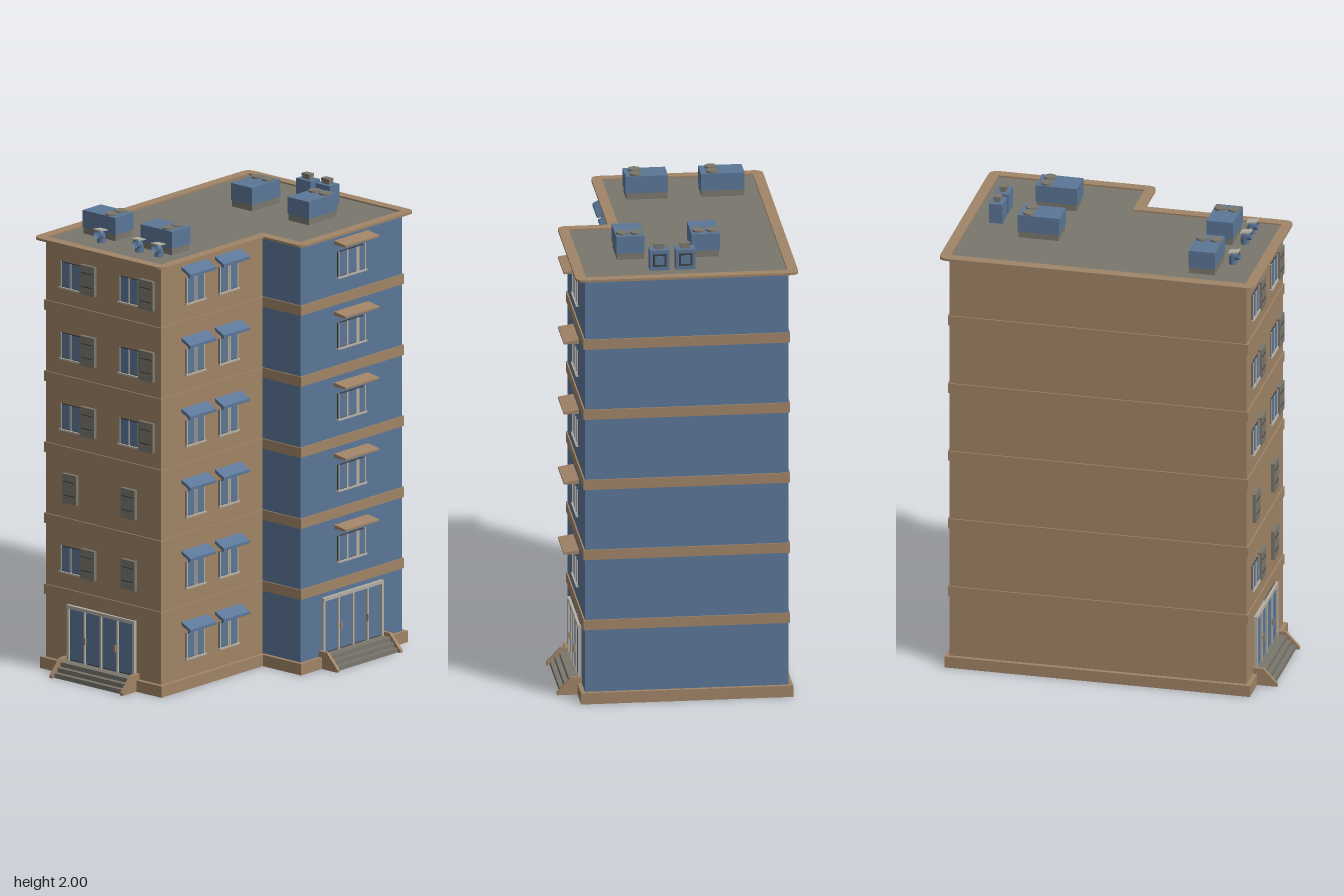
import * as THREE from 'three';

const mat = (name, color, side = THREE.FrontSide) => {
  const m = new THREE.MeshStandardMaterial({ color, side });
  m.name = name;
  return m;
};

export function createModel() {
  const tan = mat('tan plaster', 0xa08467, THREE.DoubleSide);
  const blue = mat('blue panel', 0x5b7697, THREE.DoubleSide);
  const grey = mat('warm grey', 0x7a776d, THREE.DoubleSide);
  const light = mat('light frame', 0xb3aea3);
  const dark = mat('dark trim', 0x3d3f42);

  const root = new THREE.Group();
  root.name = 'apartmentBuilding';

  const add = (parent, name, geo, material, x = 0, y = 0, z = 0) => {
    const m = new THREE.Mesh(geo, material);
    m.name = name;
    m.position.set(x, y, z);
    parent.add(m);
    return m;
  };
  // Box given by its extents
  const box = (parent, name, material, x0, x1, y0, y1, z0, z1) =>
    add(parent, name, new THREE.BoxGeometry(x1 - x0, y1 - y0, z1 - z0), material,
      (x0 + x1) / 2, (y0 + y1) / 2, (z0 + z1) / 2);
  const group = (parent, name, x = 0, y = 0, z = 0, ry = 0) => {
    const g = new THREE.Group();
    g.name = name;
    g.position.set(x, y, z);
    g.rotation.y = ry;
    parent.add(g);
    return g;
  };

  // L-shaped footprint, moved outward by o
  const X0 = -0.615, X1 = 0.675, XN = 0.03, ZB = -0.465, ZF = 0.4, ZN = 0.185, TOP = 1.886;
  const footprint = (o) => [[X0 - o, ZB - o], [X1 + o, ZB - o], [X1 + o, ZF + o],
    [XN - o, ZF + o], [XN - o, ZN + o], [X0 - o, ZN + o]];
  const outline = (target, o, r = 0) => {
    const p = footprint(o).map(([x, z]) => new THREE.Vector2(x, -z));
    p.forEach((c, i) => {
      const k = i === 4 ? 0 : r;
      const toward = (q) => c.clone().add(q.clone().sub(c).setLength(k));
      const a = k ? toward(p[(i + 5) % 6]) : c;
      if (i === 0) target.moveTo(a.x, a.y); else target.lineTo(a.x, a.y);
      if (k) {
        const b = toward(p[(i + 1) % 6]);
        target.quadraticCurveTo(c.x, c.y, b.x, b.y);
      }
    });
    target.closePath();
    return target;
  };
  const ring = (name, material, outer, inner, y0, y1, r = 0) => {
    const s = outline(new THREE.Shape(), outer, r);
    s.holes.push(outline(new THREE.Path(), inner));
    const geo = new THREE.ExtrudeGeometry(s, { depth: y1 - y0, bevelEnabled: false, curveSegments: 6 });
    add(root, name, geo.rotateX(-Math.PI / 2), material, 0, y0, 0);
  };

  // Walls: one panel per side, open underneath
  const corners = footprint(0);
  const sides = [['backWall', tan], ['leftWall', blue], ['frontWingWall', blue],
    ['notchWall', blue], ['frontMainWall', tan], ['rightWall', tan]];
  sides.forEach(([name, material], i) => {
    const [ax, az] = corners[i], [bx, bz] = corners[(i + 1) % 6];
    const geo = new THREE.PlaneGeometry(Math.hypot(bx - ax, bz - az), TOP);
    const wall = add(root, name, geo, material, (ax + bx) / 2, TOP / 2, (az + bz) / 2);
    wall.rotation.y = Math.atan2(az - bz, bx - ax) + Math.PI;
  });

  // Plinth, floor bands, roof and its rim
  ring('plinth', tan, 0.018, -0.004, 0, 0.05);
  for (let i = 0; i < 5; i++) ring('floorBand', tan, 0.006, -0.004, 0.326 + i * 0.312, 0.37 + i * 0.312);
  ring('roofRim', tan, 0.04, -0.005, 1.885, 1.895, 0.04);
  add(root, 'roof', new THREE.ShapeGeometry(outline(new THREE.Shape(), 0)).rotateX(-Math.PI / 2), grey, 0, 1.888, 0);

  // Windows straddle the wall, local +z is outward, y = 0 is the sill
  const H = 0.115;
  const windowUnit = (parent, x, y, w, mullions) => {
    const g = group(parent, 'window', x, y, 0);
    box(g, 'surround', dark, -w / 2, w / 2, 0, H, -0.004, 0.003);
    box(g, 'glass', blue, -w / 2 + 0.005, w / 2 - 0.005, 0.006, H - 0.005, -0.006, 0.005);
    for (const m of mullions) box(g, 'mullion', light, m - 0.004, m + 0.004, 0.004, H - 0.004, -0.007, 0.008);
    for (const s of [-1, 1]) {
      const e = s * (w / 2 - 0.004);
      box(g, 'jamb', light, e - 0.003, e + 0.003, 0, H, -0.005, 0.008);
    }
    box(g, 'sill', light, -w / 2 - 0.005, w / 2 + 0.005, -0.004, 0.003, -0.005, 0.012);
    return g;
  };
  // Sloping awning from a side profile [outward, up]
  const awning = (parent, material, x, w, profile) => {
    const s = new THREE.Shape(profile.map(([z, y]) => new THREE.Vector2(-z, y)));
    const geo = new THREE.ExtrudeGeometry(s, { depth: w, bevelEnabled: false });
    geo.rotateY(Math.PI / 2);
    add(parent, 'awning', geo, material, x - w / 2, 0, 0);
  };
  const sillY = (f) => 0.13 + f * 0.312;

  // Front of the main block
  for (let f = 0; f < 6; f++) {
    for (const x of [-0.402, -0.19]) {
      const g = group(root, 'mainWindowBay', x, sillY(f), ZN);
      windowUnit(g, 0, 0, 0.118, [-0.006, 0.006]);
      awning(g, blue, 0, 0.165, [[0, 0.168], [0.05, 0.142], [0.05, 0.13], [0.044, 0.13], [0, 0.153]]);
    }
  }
  // Front of the wing
  for (let f = 1; f < 6; f++) {
    const g = group(root, 'wingWindowBay', 0.35, sillY(f), ZF);
    windowUnit(g, 0, 0, 0.175, [-0.03, 0.03, 0.04]);
    awning(g, tan, 0, 0.215, [[0, 0.167], [0.065, 0.157], [0.065, 0.149], [0, 0.149]]);
  }
  // Side wall windows with shutters, open or closed
  const sideWall = group(root, 'sideWindows', X0, 0, 0, -Math.PI / 2);
  for (let f = 1; f < 6; f++) {
    [-0.32, 0.01].forEach((x, col) => {
      const g = group(sideWall, 'sideBay', x, sillY(f), 0);
      const open = f > 2 || (f === 1 && col === 0);
      if (open) windowUnit(g, 0, 0, 0.115, [0]);
      const sx = open ? 0.1 : 0;
      box(g, 'shutter', grey, sx - 0.04, sx + 0.04, -0.005, 0.125, 0, 0.016);
      for (let k = 0; k < 2; k++)
        box(g, 'shutterRail', dark, sx - 0.032, sx + 0.032, 0.03 + k * 0.06, 0.034 + k * 0.06, 0.014, 0.018);
    });
  }

  // Entrances with glazed doors, steps and sloping cheeks
  const entrance = (g) => {
    const w = 0.37, y0 = 0.055, y1 = 0.305;
    box(g, 'doorSurround', dark, -w / 2, w / 2, y0, y1, -0.004, 0.004);
    for (let i = 0; i < 4; i++) {
      const c = -w / 2 + (i + 0.5) * w / 4;
      box(g, 'doorGlass', blue, c - 0.04, c + 0.04, y0 + 0.01, y1 - 0.018, -0.006, 0.007);
    }
    for (let i = 0; i < 5; i++) {
      const c = -w / 2 + i * w / 4, t = i % 4 === 0 ? 0.006 : 0.004;
      box(g, 'doorPost', light, c - t, c + t, y0, y1, -0.006, 0.014);
    }
    box(g, 'doorHeader', light, -w / 2 - 0.006, w / 2 + 0.006, y1 - 0.014, y1, -0.006, 0.016);
    for (const x of [-0.085, 0.085]) box(g, 'doorHandle', tan, x - 0.004, x + 0.004, 0.15, 0.18, 0.012, 0.022);
    for (let i = 0; i < 3; i++)
      box(g, 'step', grey, -0.195, 0.195, i * 0.02, (i + 1) * 0.02, 0, 0.09 - i * 0.02);
    const s = new THREE.Shape([[0, 0], [-0.105, 0], [-0.105, 0.012], [-0.045, 0.076], [0, 0.076]]
      .map(([x, y]) => new THREE.Vector2(x, y)));
    for (const x of [-0.207, 0.192]) {
      const geo = new THREE.ExtrudeGeometry(s, { depth: 0.015, bevelEnabled: false }).rotateY(Math.PI / 2);
      add(g, 'stepCheek', geo, tan, x, 0, 0);
    }
  };
  entrance(group(root, 'frontEntrance', 0.352, 0, ZF));
  entrance(group(root, 'sideEntrance', X0, 0, -0.145, -Math.PI / 2));

  // Rooftop cooling units: [x0, x1, z0, z1, fan centres]
  const units = [
    [-0.46, -0.345, -0.395, -0.21, [[-0.432, -0.26], [-0.373, -0.26]]],
    [-0.46, -0.345, -0.07, 0.11, [[-0.432, 0.065], [-0.373, 0.065]]],
    [0.263, 0.443, -0.2, -0.08, [[0.4, -0.172], [0.4, -0.113]]],
    [0.263, 0.443, 0.12, 0.24, [[0.4, 0.15], [0.4, 0.21]]],
  ];
  for (const [x0, x1, z0, z1, fans] of units) {
    const g = group(root, 'coolingUnit');
    box(g, 'unitBase', grey, x0 + 0.003, x1 - 0.003, 1.888, 1.916, z0 + 0.003, z1 - 0.003);
    box(g, 'unitBody', blue, x0, x1, 1.916, 1.991, z0, z1);
    for (const [x, z] of fans)
      add(g, 'fan', new THREE.CylinderGeometry(0.026, 0.026, 0.01, 20), grey, x, 1.994, z);
  }

  // Small vent boxes with a square opening and a cap
  for (const z of [-0.037, 0.073]) {
    const g = group(root, 'ventBox', 0.568, 0, z);
    box(g, 'ventBody', blue, -0.029, 0.029, 1.888, 1.976, -0.042, 0.042);
    box(g, 'ventSurround', dark, 0.028, 0.031, 1.905, 1.96, -0.028, 0.028);
    box(g, 'ventOpening', blue, 0.03, 0.033, 1.913, 1.952, -0.02, 0.02);
    box(g, 'ventNeck', grey, -0.012, 0.012, 1.976, 1.988, -0.02, 0.02);
    box(g, 'ventCap', grey, -0.015, 0.015, 1.988, 2.0, -0.022, 0.022);
  }

  // Bent exhaust ducts
  const bend = new THREE.CatmullRomCurve3([[-0.505, 1.888], [-0.505, 1.91], [-0.512, 1.922], [-0.532, 1.926]]
    .map(([x, y]) => new THREE.Vector3(x, y, 0)));
  for (const z of [-0.25, -0.035, 0.075]) {
    const g = group(root, 'exhaustDuct', 0, 0, z);
    add(g, 'ductPipe', new THREE.TubeGeometry(bend, 12, 0.019, 12), blue);
    const cap = box(g, 'ductTop', light, -0.532, -0.487, 1.941, 1.946, -0.021, 0.021);
    cap.rotation.z = -0.12;
  }
  return root;
}
